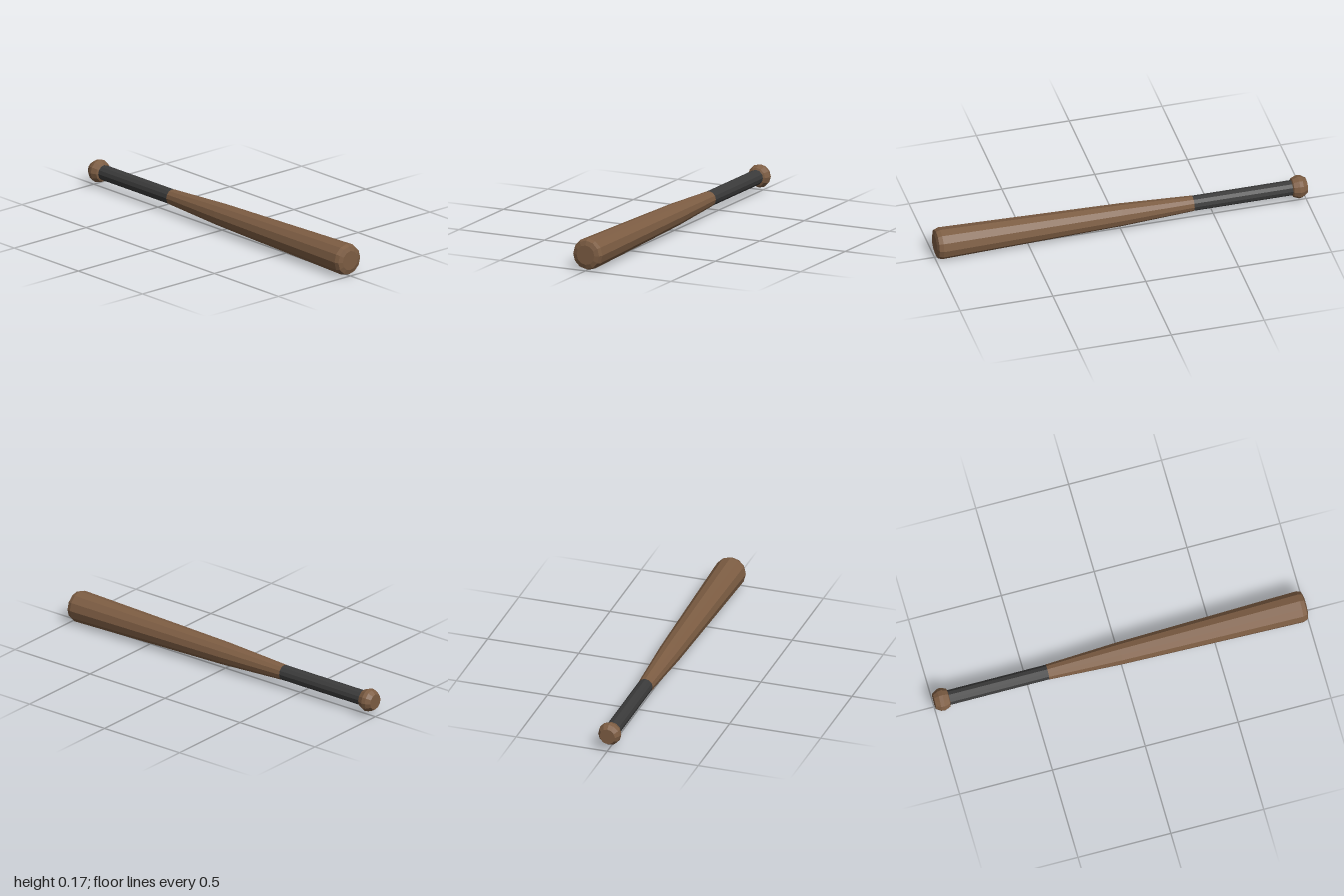
import * as THREE from 'three';

const SIDES = 12;
const AXIS_HEIGHT = 0.084;

export function createModel() {
  const wood = new THREE.MeshStandardMaterial({ color: 0x7d5d43, flatShading: true });
  wood.name = 'brown wood';
  const wrap = new THREE.MeshStandardMaterial({ color: 0x3b3b3b, flatShading: true });
  wrap.name = 'dark grip wrap';

  const bat = new THREE.Group();
  bat.name = 'bat';

  // Turns a [position along x, radius] profile into a faceted part lying along x
  function turned(name, profile, material) {
    const points = profile.map(([x, r]) => new THREE.Vector2(r, x));
    const geometry = new THREE.LatheGeometry(points, SIDES);
    geometry.rotateZ(-Math.PI / 2);
    geometry.translate(0, AXIS_HEIGHT, 0);
    const mesh = new THREE.Mesh(geometry, material);
    mesh.name = name;
    bat.add(mesh);
  }

  // Rounded knob at the handle end
  turned('knob', [
    [-1, 0], [-1, 0.042], [-0.975, 0.058], [-0.955, 0.062], [-0.925, 0.05], [-0.92, 0.038],
  ], wood);

  // Straight wrapped grip
  turned('grip', [[-0.925, 0.04], [-0.39, 0.04]], wrap);

  // Tapered barrel with a chamfered, slightly domed end
  turned('barrel', [
    [-0.39, 0.038], [-0.39, 0.041], [0, 0.06], [0.97, 0.084], [0.992, 0.076], [1, 0.052], [1, 0],
  ], wood);

  return bat;
}
